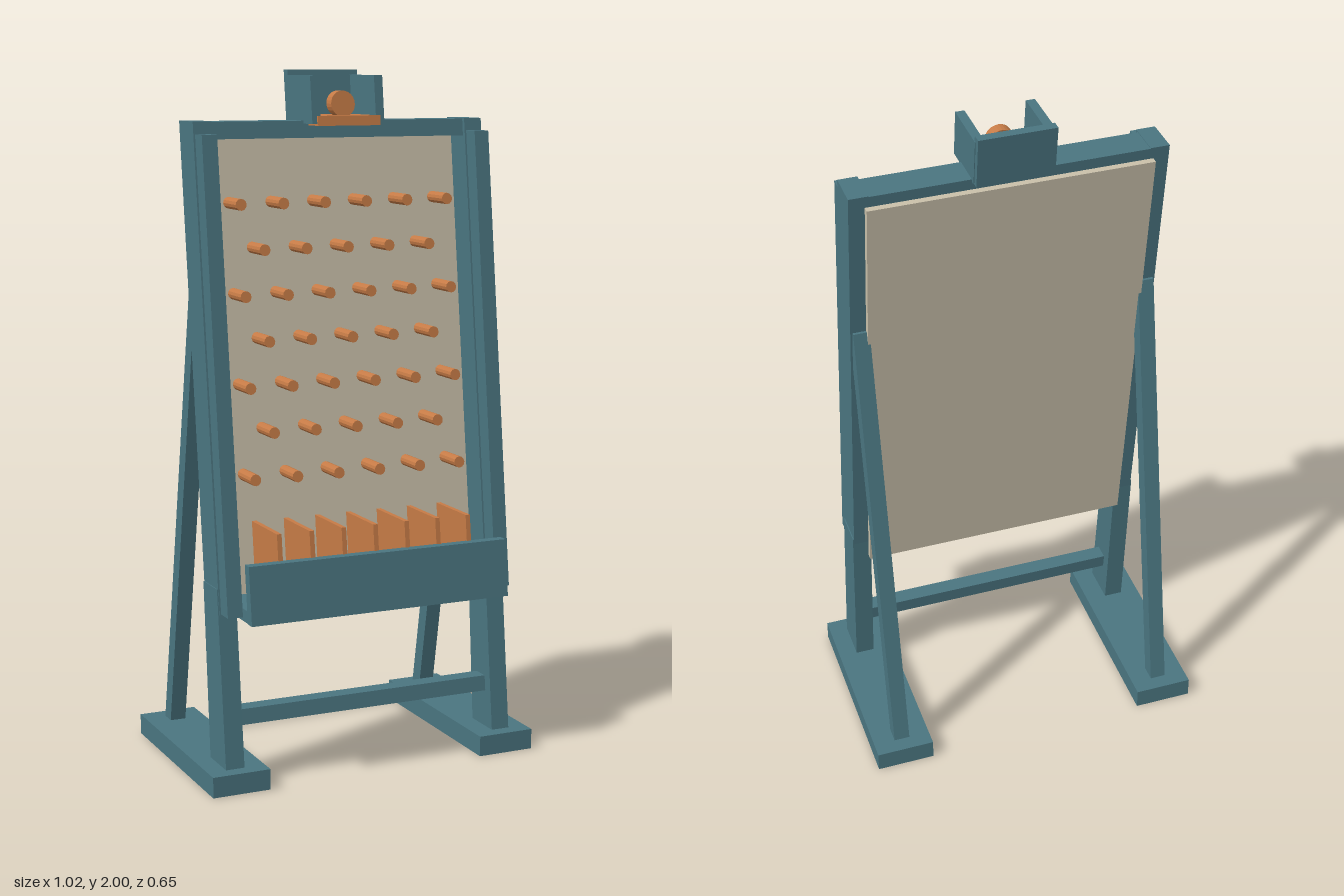
import * as THREE from 'three';

const LEAN = -0.1225; // z shift per unit of height for the leaning frame
const mat = (color) => new THREE.MeshStandardMaterial({ color, flatShading: true });

export function createModel() {
  const model = new THREE.Group();
  model.name = 'pegBoardGame';
  const teal = mat(0x4a7580), beige = mat(0xc9c0aa), orange = mat(0xc67b46);

  // Slide every height along z, keeping tops and bottoms level
  const shear = (geo, k) => geo.applyMatrix4(
    new THREE.Matrix4().set(1, 0, 0, 0, 0, 1, 0, 0, 0, k, 1, 0, 0, 0, 0, 1));

  const add = (name, geo, material) => {
    const mesh = new THREE.Mesh(geo, material);
    mesh.name = name;
    model.add(mesh);
    return mesh;
  };

  // Box given by its limits, leaning by k (z limits are those at y = 0)
  const slab = (name, material, [x0, x1], [y0, y1], [z0, z1], k = LEAN) => {
    const geo = new THREE.BoxGeometry(x1 - x0, y1 - y0, z1 - z0);
    geo.translate((x0 + x1) / 2, (y0 + y1) / 2, (z0 + z1) / 2);
    return add(name, shear(geo, k), material);
  };

  // Short round bar along z, seated in the leaning frame
  const disc = (name, r, x, y, [z0, z1], sides) => {
    const geo = new THREE.CylinderGeometry(r, r, z1 - z0, sides);
    geo.rotateX(Math.PI / 2).translate(x, y, (z0 + z1) / 2);
    return add(name, shear(geo, LEAN), orange);
  };

  // Board
  slab('board', beige, [-0.405, 0.405], [0.49, 1.825], [0.134, 0.174]);

  // Side parts, mirrored
  for (const s of [-1, 1]) {
    const side = s > 0 ? 'left' : 'right';
    const span = (a, b) => (s > 0 ? [a, b] : [-b, -a]);
    slab(side + 'Foot', teal, span(0.335, 0.508), [0, 0.06], [-0.325, 0.29], 0);
    slab(side + 'Post', teal, span(0.395, 0.45), [0.49, 1.86], [0.154, 0.262]);
    slab(side + 'FrontRail', teal, span(0.4, 0.445), [0.5, 1.825], [0.262, 0.314]);
    slab(side + 'BackStrut', teal, span(0.397, 0.444), [0.05, 1.4], [-0.292, -0.244], 0.19);

    // Lower leg, a little deeper at the foot
    const profile = new THREE.Shape([[0.249, 0.05], [0.191, 0.57], [0.085, 0.57], [0.127, 0.05]]
      .map(([z, y]) => new THREE.Vector2(-z, y)));
    const leg = new THREE.ExtrudeGeometry(profile, { depth: 0.056, bevelEnabled: false });
    leg.rotateY(Math.PI / 2).translate(s > 0 ? 0.397 : -0.453, 0, 0);
    add(side + 'Leg', leg, teal);
  }

  // Cross members
  slab('topBeam', teal, [-0.4, 0.4], [1.81, 1.858], [0.154, 0.25]);
  slab('lowerCrossbar', teal, [-0.4, 0.4], [0.17, 0.215], [0.175, 0.225]);

  // Staggered pegs: rows of six and five
  for (let row = 0; row < 7; row++) {
    const count = row % 2 ? 5 : 6;
    for (let i = 0; i < count; i++) {
      disc('peg', 0.0165, (i - (count - 1) / 2) * 0.129, 1.63 - row * 0.1275, [0.165, 0.27], 12);
    }
  }

  // Catch tray with dividers
  slab('trayFloor', teal, [-0.4, 0.4], [0.49, 0.525], [0.174, 0.355]);
  slab('trayFront', teal, [-0.402, 0.402], [0.49, 0.655], [0.354, 0.384]);
  for (let i = -3; i <= 3; i++) {
    const x = i * 0.0987;
    slab('trayDivider', orange, [x - 0.007, x + 0.007], [0.52, 0.73], [0.17, 0.358]);
  }

  // Drop box on top
  slab('dropBoxFloor', orange, [-0.097, 0.097], [1.845, 1.873], [0.14, 0.318]);
  slab('dropBoxBack', teal, [-0.11, 0.11], [1.85, 2], [0.121, 0.149]);
  slab('dropBoxLeftWall', teal, [0.086, 0.112], [1.85, 1.985], [0.14, 0.312]);
  slab('dropBoxRightWall', teal, [-0.112, -0.086], [1.85, 1.985], [0.14, 0.312]);
  disc('puck', 0.037, 0, 1.905, [0.247, 0.28], 24);

  return model;
}
